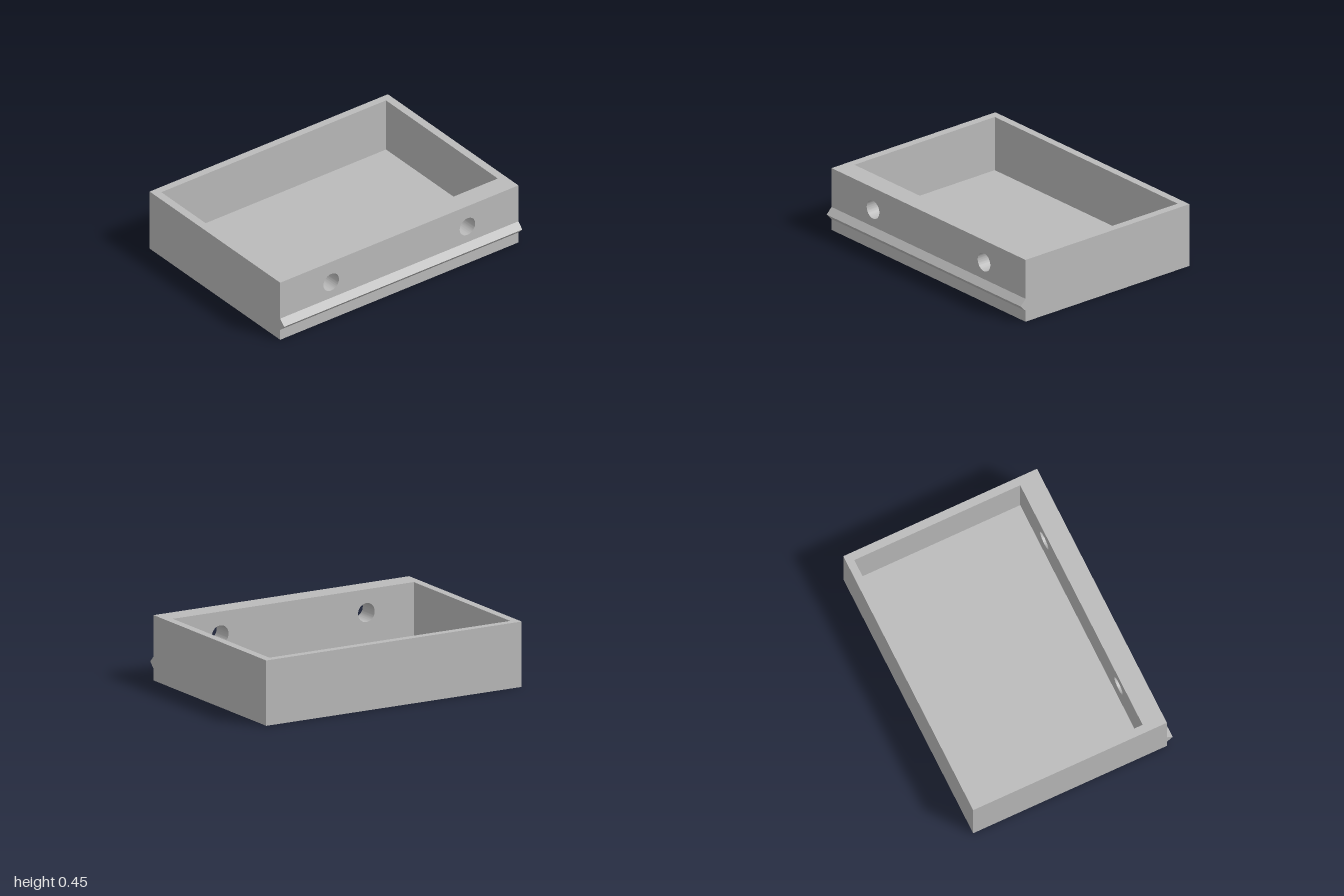
import * as THREE from 'three';
import { toCreasedNormals } from 'three/addons/utils/BufferGeometryUtils.js';

export function createModel() {
  const group = new THREE.Group();
  group.name = 'tray';
  const grey = new THREE.MeshStandardMaterial({ color: 0xbababa });
  grey.name = 'grey';

  const H = 0.45, floorY = 0.063;          // overall height, floor thickness
  const back = -0.738, front = 0.695;      // outer wall faces
  const inBack = -0.684, inFront = 0.543, inX = 0.943;

  function add(name, geometry) {
    const mesh = new THREE.Mesh(geometry, grey);
    mesh.name = name;
    group.add(mesh);
    return mesh;
  }
  // Box given by its two opposite corners
  function box(name, x0, x1, y0, y1, z0, z1) {
    add(name, new THREE.BoxGeometry(x1 - x0, y1 - y0, z1 - z0))
      .position.set((x0 + x1) / 2, (y0 + y1) / 2, (z0 + z1) / 2);
  }

  // Floor, back wall and side walls
  box('floor', -inX, inX, 0, floorY, inBack, inFront);
  box('backWall', -1, 1, 0, H, back, inBack);
  box('leftWall', inX, 1, 0, H, inBack, inFront);
  box('rightWall', -1, -inX, 0, H, inBack, inFront);

  // Thick front wall with two round through-holes
  const wall = new THREE.Shape([[-1, 0], [1, 0], [1, H], [-1, H]].map(p => new THREE.Vector2(...p)));
  for (const x of [-0.572, 0.572]) {
    const hole = new THREE.Path();
    hole.absarc(x, 0.29, 0.065, 0, Math.PI * 2, true);
    wall.holes.push(hole);
  }
  const wallGeometry = new THREE.ExtrudeGeometry(wall, {
    depth: front - inFront, bevelEnabled: false, curveSegments: 32,
  });
  add('frontWall', toCreasedNormals(wallGeometry, 0.6)).position.z = inFront;

  // Triangular ridge running along the front; profile in (-z, y), swept along x
  const ridge = new THREE.Shape([[-front, 0.079], [-front, 0.167], [-0.738, 0.123]].map(p => new THREE.Vector2(...p)));
  const ridgeGeometry = new THREE.ExtrudeGeometry(ridge, { depth: 2, bevelEnabled: false });
  ridgeGeometry.rotateY(Math.PI / 2).translate(-1, 0, 0);
  add('frontRidge', ridgeGeometry);

  return group;
}
